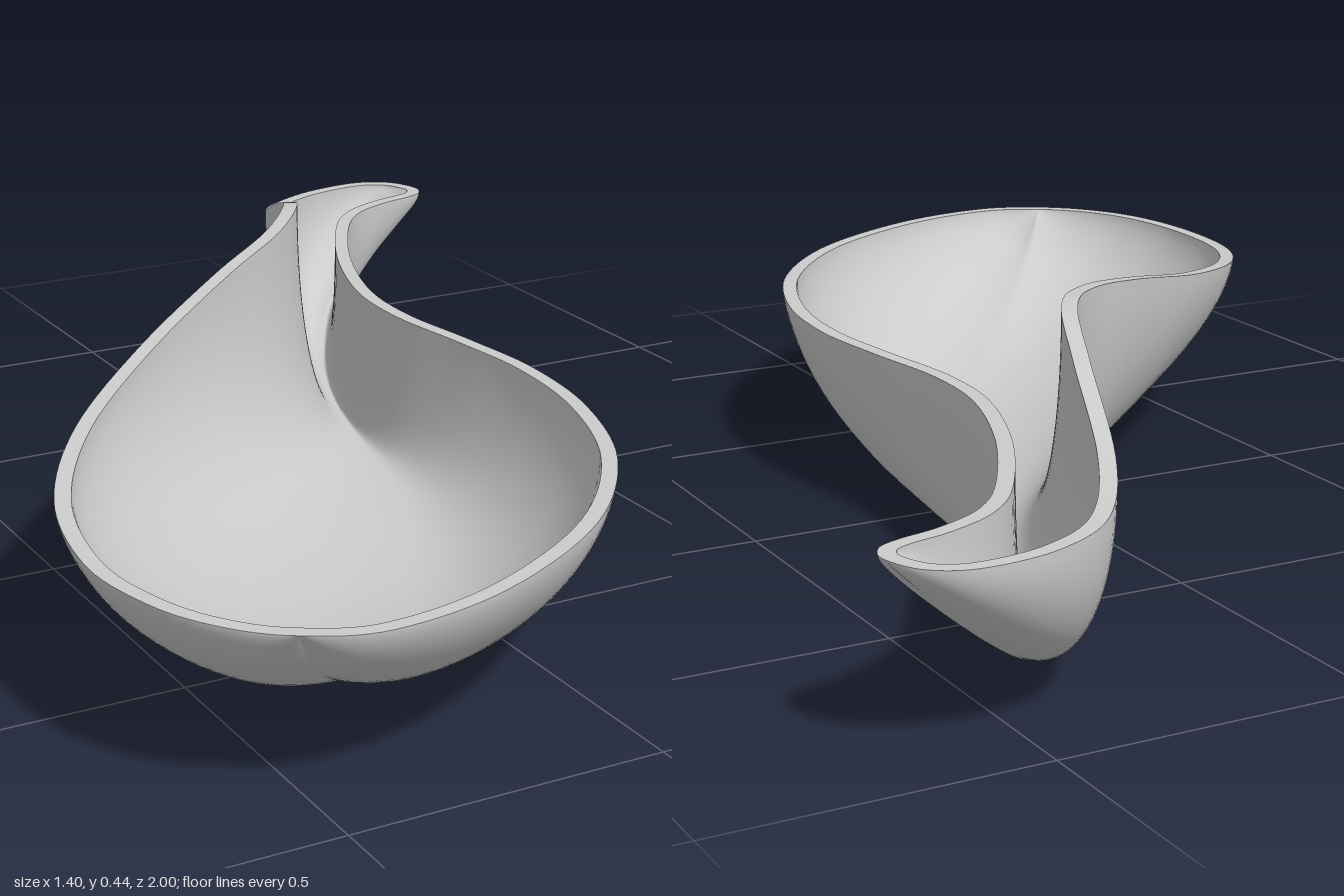
import * as THREE from 'three';

const WALL = 0.025;   // wall thickness
const ALONG = 128;    // sections from bowl tip to spout tip
const ACROSS = 48;    // points in each section

// Matching stations: left edge, right edge and keel, as [x, y, z]
const bowlTip = [-0.55, 0.28, 0.959];
const spoutTip = [0.7, 0.28, -0.91];
const leftEdge = [
  [-0.63, 0.28, 0.882], [-0.682, 0.28, 0.77], [-0.7, 0.28, 0.61], [-0.655, 0.29, 0.4],
  [-0.53, 0.315, 0.19], [-0.33, 0.355, -0.01], [-0.12, 0.402, -0.17], [0.03, 0.427, -0.28],
  [0.13, 0.434, -0.4], [0.2, 0.393, -0.56], [0.28, 0.318, -0.77], [0.37, 0.286, -0.91],
  [0.48, 0.28, -0.98], [0.6, 0.28, -1.0], [0.67, 0.28, -0.972],
];
const rightEdge = [
  [-0.43, 1.0], [-0.23, 0.957], [0, 0.82], [0.17, 0.62], [0.26, 0.4],
  [0.287, 0.2], [0.272, 0.02], [0.25, -0.15], [0.262, -0.31], [0.33, -0.51],
  [0.43, -0.7], [0.5, -0.785], [0.58, -0.828], [0.65, -0.847], [0.688, -0.868],
].map(([x, z]) => [x, 0.28, z]);
const keelLine = [
  [-0.485, 0.185, 0.885], [-0.38, 0.1, 0.77], [-0.24, 0.04, 0.62], [-0.09, 0.008, 0.44],
  [0.03, 0, 0.25], [0.11, 0, 0.08], [0.165, 0, -0.09], [0.2, 0, -0.23],
  [0.235, 0, -0.36], [0.285, 0, -0.51], [0.355, 0.012, -0.67], [0.435, 0.058, -0.8],
  [0.525, 0.124, -0.88], [0.615, 0.197, -0.92], [0.667, 0.245, -0.915],
];

const curve = (points, closed) => new THREE.CatmullRomCurve3(
  points.map((p) => new THREE.Vector3(...p)), closed, 'catmullrom', 0.5);

// The first and last sections of a skin shrink to a single point
const idx = (i, j) => {
  if (i === 0) return 0;
  if (i === ALONG) return 1;
  return 2 + (i - 1) * (ACROSS + 1) + j;
};

function geometryFrom(points, index) {
  const g = new THREE.BufferGeometry().setFromPoints(points);
  g.setIndex(index);
  g.computeVertexNormals();
  return g;
}

// A skin whose sections run from the left edge down to the keel and up to the right edge
function skin(edge, keel, inward) {
  const points = [], index = [];
  for (let i = 0; i <= ALONG; i++) {
    const k = keel[i];
    // open sides in the bowl, steeper ones from the neck to the spout
    const neck = THREE.MathUtils.smoothstep(i / ALONG, 0.2, 0.55);
    const width = 2 / THREE.MathUtils.lerp(2, 2.1, neck);
    const rise = THREE.MathUtils.lerp(0.65, 0.48, neck);
    for (let j = 0; j <= ACROSS; j++) {
      const a = Math.PI * (j / ACROSS - 0.5);
      const side = a < 0 ? edge[i] : edge[(2 * ALONG - i) % (2 * ALONG)];
      const out = Math.abs(Math.sin(a)) ** width;
      const up = 1 - Math.max(0, Math.cos(a)) ** (2 * rise);
      points[idx(i, j)] = new THREE.Vector3(
        k.x + (side.x - k.x) * out,
        k.y + (side.y - k.y) * up,
        k.z + (side.z - k.z) * out);
    }
  }
  const add = (a, b, c) => {
    if (a === b || b === c || a === c) return;
    index.push(...(inward ? [a, c, b] : [a, b, c]));
  };
  for (let i = 0; i < ALONG; i++) {
    for (let j = 0; j < ACROSS; j++) {
      const a = idx(i, j), b = idx(i + 1, j), c = idx(i + 1, j + 1), d = idx(i, j + 1);
      add(a, b, d);
      add(b, c, d);
    }
  }
  return geometryFrom(points, index);
}

export function createModel() {
  const model = new THREE.Group();
  model.name = 'spoutedScoop';
  const material = new THREE.MeshStandardMaterial({ color: 0xcccccc, side: THREE.DoubleSide });
  const addPart = (name, geometry) => {
    const mesh = new THREE.Mesh(geometry, material);
    mesh.name = name;
    model.add(mesh);
  };

  // Edge loop: from the bowl tip up the left side, round the spout, back down the right
  const edgeCurve = curve([bowlTip, ...leftEdge, spoutTip, ...[...rightEdge].reverse()], true);
  const outerEdge = edgeCurve.getPoints(2 * ALONG).slice(0, -1);
  const innerEdge = outerEdge.map((p, n) => {
    const d = edgeCurve.getTangent(n / (2 * ALONG));
    const inset = new THREE.Vector3(-d.z, 0, d.x).setLength(WALL);
    return p.clone().add(inset);
  });

  // Keel: raised by the wall thickness inside, meeting the inner edge at both tips
  const outerKeel = curve([bowlTip, ...keelLine, spoutTip], false).getPoints(ALONG);
  outerKeel.forEach((p) => { p.y = Math.max(0, p.y); });
  const raise = new THREE.Vector3(0, WALL, 0);
  const innerKeel = outerKeel.map((p, i) => {
    const tip = i < ALONG / 2 ? 0 : ALONG;
    const shift = innerEdge[tip].clone().sub(outerEdge[tip]);
    const blend = Math.min(1, Math.abs(i - tip) * 12 / ALONG);
    return p.clone().add(shift.lerp(raise, blend));
  });

  addPart('outerShell', skin(outerEdge, outerKeel, false));
  addPart('innerShell', skin(innerEdge, innerKeel, true));

  // Flat lip joining the two skins
  const lip = [], lipIndex = [];
  outerEdge.forEach((p, n) => {
    lip.push(p, innerEdge[n]);
    const o = 2 * n, next = 2 * ((n + 1) % outerEdge.length);
    lipIndex.push(o, o + 1, next, o + 1, next + 1, next);
  });
  addPart('lip', geometryFrom(lip, lipIndex));
  return model;
}
